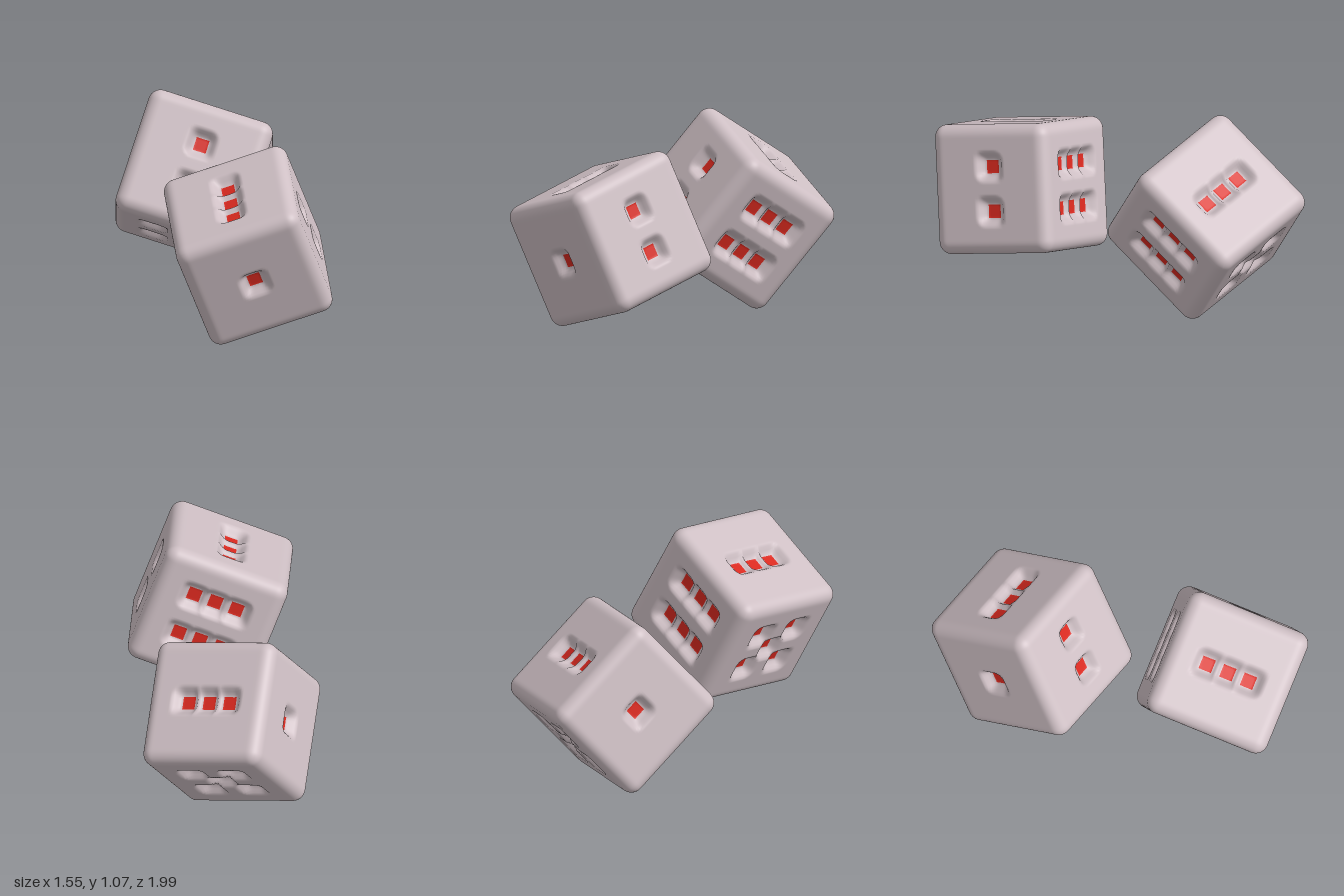
import * as THREE from 'three';
import { mergeVertices } from 'three/addons/utils/BufferGeometryUtils.js';

const N = 58, H = 0.36, ROUND = 0.07; // grid cells per side, half size, edge radius
const STEP = (2 * H) / N, GAP = 10 * STEP; // grid step, pip spacing
const FLOOR = 0.039, RIM = 0.09, DEPTH = 0.05; // dimple floor, rim and depth

const corners = [[-1, -1], [-1, 1], [1, -1], [1, 1]];
// normal n, tangents u and v (u x v = n), pips in (u, v) steps; local x = one, y = two, z = three
const faces = [
  { n: [1, 0, 0], u: [0, 1, 0], v: [0, 0, 1], pips: [[0, 0]] },
  { n: [0, 1, 0], u: [0, 0, 1], v: [1, 0, 0], pips: [[-1, 0], [1, 0]] },
  { n: [0, 0, 1], u: [1, 0, 0], v: [0, 1, 0], pips: [[-1, 0], [0, 0], [1, 0]] },
  { n: [0, 0, -1], u: [0, 1, 0], v: [1, 0, 0], pips: corners },
  { n: [0, -1, 0], u: [1, 0, 0], v: [0, 0, 1], pips: [...corners, [0, 0]] },
  { n: [-1, 0, 0], u: [0, 0, 1], v: [0, 1, 0], pips: [...corners, [-1, 0], [1, 0]] },
];

// rounded-square distance to the nearest pip
function pipDistance(pips, a, b) {
  return Math.min(...pips.map(([i, j]) =>
    Math.pow(Math.pow(a - i * GAP, 4) + Math.pow(b - j * GAP, 4), 0.25)));
}

// rounded cube with a dimple pressed in at each pip
function dieGeometry() {
  const positions = [], body = [], red = [];
  for (const face of faces) {
    const [n, u, v] = [face.n, face.u, face.v].map(a => new THREE.Vector3(...a));
    const base = positions.length / 3;
    for (let j = 0; j <= N; j++) {
      for (let i = 0; i <= N; i++) {
        const a = -H + i * STEP, b = -H + j * STEP;
        const p = n.clone().multiplyScalar(H).addScaledVector(u, a).addScaledVector(v, b);
        const q = p.clone().clampScalar(-(H - ROUND), H - ROUND);
        p.sub(q).setLength(ROUND).add(q);
        const d = pipDistance(face.pips, a, b);
        p.addScaledVector(n, -DEPTH * (1 - THREE.MathUtils.smoothstep(d, FLOOR, RIM)));
        positions.push(p.x, p.y, p.z);
      }
    }
    for (let j = 0; j < N; j++) {
      for (let i = 0; i < N; i++) {
        const k = base + j * (N + 1) + i;
        const d = pipDistance(face.pips, -H + (i + 0.5) * STEP, -H + (j + 0.5) * STEP);
        (d < FLOOR ? red : body).push(k, k + 1, k + N + 2, k, k + N + 2, k + N + 1);
      }
    }
  }
  const geo = new THREE.BufferGeometry();
  geo.setAttribute('position', new THREE.Float32BufferAttribute(positions, 3));
  geo.setIndex([...body, ...red]);
  geo.addGroup(0, body.length, 0);
  geo.addGroup(body.length, red.length, 1);
  const welded = mergeVertices(geo, 1e-5);
  welded.computeVertexNormals();
  return welded;
}

export function createModel() {
  const bodyMat = new THREE.MeshStandardMaterial({ color: 0xcfc0c5 });
  bodyMat.name = 'pale body';
  const pipMat = new THREE.MeshStandardMaterial({ color: 0xd9291f });
  pipMat.name = 'red pip';
  const geometry = dieGeometry();
  const group = new THREE.Group();
  group.name = 'pairOfDice';

  // each die is placed by its centre and the directions of its one and three faces
  const addDie = (name, centre, one, three) => {
    const x = new THREE.Vector3(...one).normalize();
    const y = new THREE.Vector3(...three).cross(x).normalize();
    const z = x.clone().cross(y);
    const die = new THREE.Mesh(geometry, [bodyMat, pipMat]);
    die.name = name;
    die.quaternion.setFromRotationMatrix(new THREE.Matrix4().makeBasis(x, y, z));
    die.position.set(...centre);
    group.add(die);
  };
  addDie('frontDie', [-0.22, 0.58, 0.515], [-0.527, -0.23, 0.82], [-0.4, 0.917, 0]);
  addDie('backDie', [0.205, 0.54, -0.47], [-0.62, 0.254, -0.74], [0.58, 0.78, -0.22]);
  return group;
}
